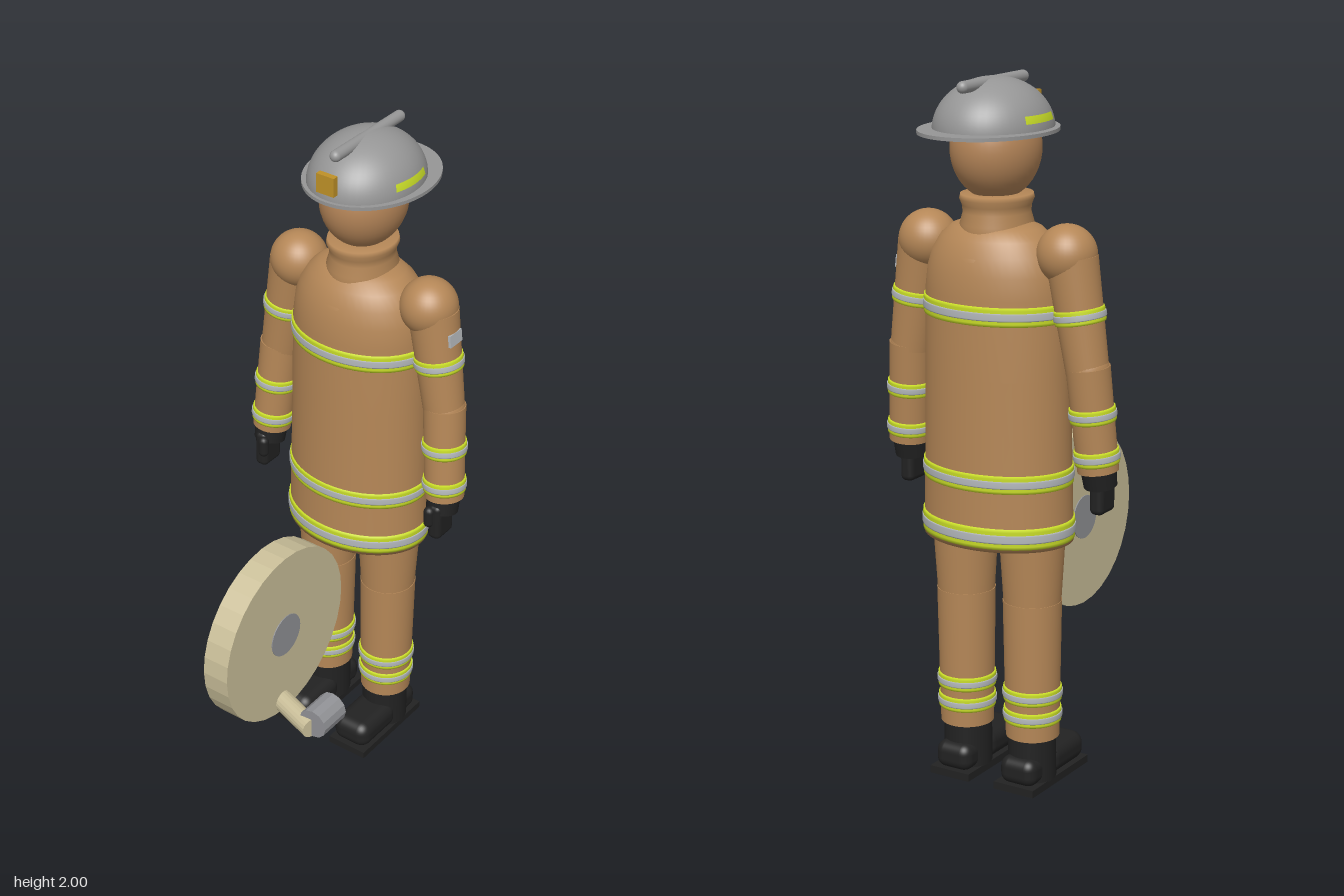
import * as THREE from 'three';
import { RoundedBoxGeometry } from 'three/addons/geometries/RoundedBoxGeometry.js';

const mat = (name, color, extra = {}) => Object.assign(new THREE.MeshStandardMaterial({ color, ...extra }), { name });

export function createModel() {
  const coat = mat('tan cloth', 0xb58757);
  const skin = mat('skin', 0xb58558);
  const lime = mat('lime trim', 0xc8dc28);
  const silver = mat('silver trim', 0xb4b8bc);
  const black = mat('black rubber', 0x222222);
  const grey = mat('helmet grey', 0x969696);
  const gold = mat('gold', 0xbf9128);
  const canvas = mat('canvas', 0xcbc09a, { flatShading: true });
  const metal = mat('grey metal', 0x919296, { flatShading: true });

  const model = new THREE.Group();
  model.name = 'firefighter';
  const Z = -0.253; // body axis

  const add = (parent, name, geometry, material, x = 0, y = 0, z = 0) => {
    const mesh = new THREE.Mesh(geometry, material);
    mesh.name = name;
    mesh.position.set(x, y, z);
    parent.add(mesh);
    return mesh;
  };
  const lathe = (points) => new THREE.LatheGeometry(points.map(([r, y]) => new THREE.Vector2(r, y)), 48);
  const sphere = (r) => new THREE.SphereGeometry(r, 40, 24);

  // Reflective band: lime ring with a narrower silver ring on it
  const band = (parent, name, r, y, h, sz = 1) => {
    const ring = (rad, half) => lathe([
      [r - 0.012, -half], [rad - 0.001, -half], [rad, -half * 0.7],
      [rad, half * 0.7], [rad - 0.001, half], [r - 0.012, half]]);
    const g = new THREE.Group();
    g.name = name;
    g.position.y = y;
    g.scale.z = sz;
    add(g, 'limeEdge', ring(r + 0.005, h / 2), lime);
    add(g, 'silverStripe', ring(r + 0.0075, h * 0.21), silver);
    parent.add(g);
  };

  // Tapered limb from a (radius ra) to b (radius rb) with bands at given heights
  const limb = (name, a, b, ra, rb, material, bands = [], segs = 40) => {
    const A = new THREE.Vector3(...a), B = new THREE.Vector3(...b);
    const len = A.distanceTo(B);
    const g = new THREE.Group();
    g.name = name;
    g.position.copy(A).add(B).multiplyScalar(0.5);
    g.quaternion.setFromUnitVectors(new THREE.Vector3(0, 1, 0), A.clone().sub(B).normalize());
    add(g, name + 'Tube', new THREE.CylinderGeometry(ra, rb, len, segs), material);
    for (const y of bands) {
      const t = (A.y - y) / (A.y - B.y);
      band(g, 'limbBand', ra + (rb - ra) * t, len * (0.5 - t), 0.04);
    }
    model.add(g);
    return g;
  };

  // Coat
  const coatScale = 0.765;
  add(model, 'coat', lathe([
    [0, 0.725], [0.222, 0.725], [0.221, 0.76], [0.217, 0.95], [0.213, 1.2], [0.21, 1.42],
    [0.203, 1.48], [0.188, 1.53], [0.162, 1.57], [0.13, 1.597], [0.09, 1.612], [0, 1.615],
  ]), coat, 0, 0, Z).scale.z = coatScale;
  const coatBands = new THREE.Group();
  coatBands.name = 'coatBands';
  coatBands.position.z = Z;
  model.add(coatBands);
  band(coatBands, 'hemBand', 0.221, 0.763, 0.058, coatScale);
  band(coatBands, 'waistBand', 0.217, 0.916, 0.05, coatScale);
  band(coatBands, 'chestBand', 0.2105, 1.378, 0.052, coatScale);

  // Shoulder yoke depth and collar
  add(model, 'yoke', lathe([[0.15, 1.49], [0.146, 1.525], [0.122, 1.565], [0.1, 1.6], [0, 1.612]]), coat, 0, 0, Z);
  add(model, 'collar', lathe([
    [0.098, 1.58], [0.098, 1.605], [0.09, 1.635], [0.092, 1.655], [0.099, 1.672], [0.096, 1.685], [0.06, 1.686],
  ]), coat, 0, 0, Z).scale.z = 1.1;

  // Head
  add(model, 'head', sphere(1), skin, 0, 1.807, -0.256).scale.set(0.12, 0.142, 0.135);

  // Helmet
  const dome = new THREE.SphereGeometry(1, 48, 20, 0, Math.PI * 2, 0, Math.PI / 2);
  add(model, 'helmetDome', dome, grey, 0, 1.858, -0.267).scale.set(0.157, 0.14, 0.183);
  add(model, 'helmetBrim', new THREE.CylinderGeometry(1, 1, 0.01, 64), grey, 0, 1.86, -0.291).scale.set(0.18, 1, 0.216);
  const crest = add(model, 'helmetCrest', new THREE.CapsuleGeometry(0.0165, 0.293, 8, 20), grey, 0, 1.983, -0.268);
  crest.rotation.x = Math.PI / 2;
  add(model, 'helmetBadge', new THREE.BoxGeometry(0.058, 0.056, 0.018), gold, 0, 1.916, -0.082);
  for (const mid of [0, Math.PI]) {
    const strip = new THREE.SphereGeometry(1.012, 16, 2, mid - 0.38, 0.76, 1.22, 0.15);
    add(model, 'helmetStripe', strip, lime, 0, 1.858, -0.267).scale.set(0.157, 0.14, 0.183);
  }

  for (const s of [1, -1]) {
    // Arm
    add(model, 'shoulder', sphere(0.083), coat, s * 0.222, 1.538, -0.256);
    limb('upperArm', [s * 0.237, 1.53, -0.256], [s * 0.286, 1.225, -0.254], 0.072, 0.059, coat, [1.378]);
    add(model, 'elbow', sphere(0.06), coat, s * 0.287, 1.23, -0.254);
    limb('forearm', [s * 0.287, 1.24, -0.254], [s * 0.31, 0.95, -0.236], 0.061, 0.057, coat, [1.11, 0.992]);

    // Glove
    limb('gloveCuff', [s * 0.309, 0.965, -0.235], [s * 0.311, 0.905, -0.225], 0.05, 0.046, black);
    add(model, 'gloveHand', new RoundedBoxGeometry(0.042, 0.115, 0.082, 4, 0.016), black, s * 0.312, 0.883, -0.217);
    add(model, 'gloveThumb', new THREE.CapsuleGeometry(0.016, 0.035, 6, 14), black, s * 0.298, 0.9, -0.178);

    // Leg
    limb('thigh', [s * 0.11, 0.76, Z], [s * 0.11, 0.53, Z], 0.094, 0.08, coat);
    add(model, 'knee', sphere(0.081), coat, s * 0.11, 0.545, Z);
    limb('shin', [s * 0.11, 0.55, Z], [s * 0.11, 0.148, Z], 0.083, 0.076, coat, [0.277, 0.214]);

    // Boot
    add(model, 'bootShaft', new THREE.CylinderGeometry(0.067, 0.068, 0.16, 32), black, s * 0.108, 0.1, Z).scale.z = 1.06;
    add(model, 'bootToe', new RoundedBoxGeometry(0.125, 0.085, 0.18, 5, 0.035), black, s * 0.108, 0.06, -0.147);
    add(model, 'bootHeel', new RoundedBoxGeometry(0.115, 0.08, 0.1, 5, 0.03), black, s * 0.108, 0.057, -0.297);
    add(model, 'bootSole', new THREE.BoxGeometry(0.13, 0.022, 0.302), black, s * 0.108, 0.011, -0.203);
  }

  // Sleeve patch on the left arm
  const patch = add(model, 'sleevePatch', new THREE.BoxGeometry(0.008, 0.036, 0.056), silver, 0.314, 1.469, -0.252);
  patch.rotation.z = 0.12;

  // Hose reel: roll, hub, hose end and nozzle
  const reel = new THREE.CylinderGeometry(0.27, 0.27, 0.082, 32).rotateZ(Math.PI / 2);
  add(model, 'hoseRoll', reel, canvas, 0.054, 0.637, 0.236);
  const hub = new THREE.CylinderGeometry(0.066, 0.066, 0.088, 24).rotateZ(Math.PI / 2);
  add(model, 'reelHub', hub, metal, 0.054, 0.637, 0.236);
  limb('hoseEnd', [0.06, 0.403, 0.239], [0.235, 0.403, 0.3], 0.031, 0.031, canvas, [], 20);
  const nozzle = new THREE.CylinderGeometry(0.046, 0.046, 0.1, 12).rotateX(Math.PI / 2);
  add(model, 'nozzle', nozzle, metal, 0.238, 0.42, 0.25);

  return model;
}
